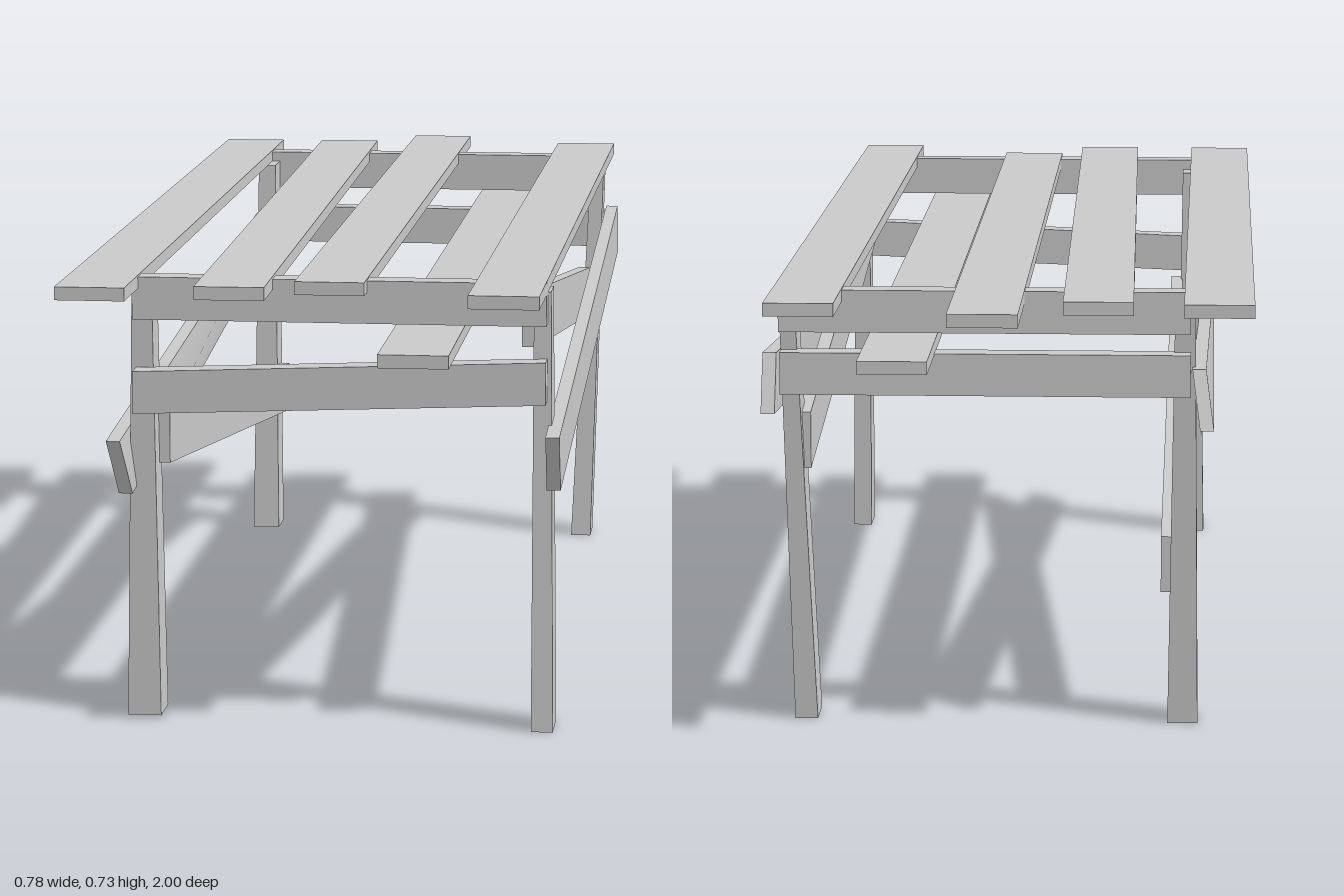
import * as THREE from 'three';

const material = new THREE.MeshStandardMaterial({ color: 0xcccccc });

// Six-sided timber: place(x, y, z) maps the corner signs (-1 or 1) to a position.
function timber(name, place) {
  const geometry = new THREE.BoxGeometry(2, 2, 2);
  const p = geometry.attributes.position;
  for (let i = 0; i < p.count; i++) {
    p.setXYZ(i, ...place(p.getX(i), p.getY(i), p.getZ(i)));
  }
  geometry.computeVertexNormals();
  const mesh = new THREE.Mesh(geometry, material);
  mesh.name = name;
  return mesh;
}

const pick = (sign, low, high) => (sign < 0 ? low : high);

// Table board: xBack and xFront are the centres of its ends.
function slat(name, xBack, xFront, y, zBack, zFront) {
  const skew = (xFront - xBack) / (zFront - zBack);
  return timber(name, (sx, sy, sz) => [
    pick(sz, xBack, xFront) + sx * 0.055,
    y + sy * 0.0105,
    pick(sz, zBack, zFront) - sx * 0.055 * skew,
  ]);
}

// Crosswise board: yRight and yLeft are the centres of its ends.
function rail(name, yRight, yLeft, z) {
  return timber(name, (sx, sy, sz) => [
    pick(sx, -0.29, 0.365),
    pick(sx, yRight, yLeft) + sy * 0.034,
    z + sz * 0.02,
  ]);
}

// Leg: foot and head are [xMin, xMax, zMin, zMax].
function leg(name, foot, head) {
  return timber(name, (sx, sy, sz) => {
    const e = pick(sy, foot, head);
    return [pick(sx, e[0], e[1]), pick(sy, 0, 0.705), pick(sz, e[2], e[3])];
  });
}

// Lengthwise diagonal: each end is { x, y, z, lean }, lean shifting its lower edge in x;
// cut slants the sawn ends along z.
function brace(name, back, front, cut = 0) {
  return timber(name, (sx, sy, sz) => {
    const e = pick(sz, back, front);
    return [
      e.x + sx * 0.011 + (sy < 0 ? e.lean || 0 : 0),
      e.y + sy * 0.046,
      e.z + sy * cut,
    ];
  });
}

export function createModel() {
  const table = new THREE.Group();
  table.name = 'table';

  // Top boards, one of which has dropped onto the lower rails
  table.add(
    slat('topBoardRight', -0.335, -0.335, 0.715, -0.9, 0.957),
    slat('topBoardInnerRight', -0.147, -0.119, 0.717, -0.892, 0.942),
    slat('topBoardMiddle', 0.028, 0.028, 0.715, -1, 0.865),
    slat('droppedBoard', 0.173, 0.173, 0.626, -0.92, 1),
    slat('topBoardLeft', 0.319, 0.309, 0.715, -0.912, 0.97),
  );

  // End rails
  table.add(
    rail('frontUpperRail', 0.689, 0.689, 0.81),
    rail('frontLowerRail', 0.538, 0.565, 0.815),
    rail('backUpperRail', 0.689, 0.689, -0.75),
    rail('backLowerRail', 0.585, 0.585, -0.735),
  );

  // Slightly splayed legs
  table.add(
    leg('frontLeftLeg', [0.345, 0.38, 0.745, 0.825], [0.343, 0.37, 0.737, 0.795]),
    leg('frontRightLeg', [-0.31, -0.256, 0.72, 0.79], [-0.297, -0.265, 0.735, 0.79]),
    leg('backLeftLeg', [0.315, 0.352, -0.692, -0.62], [0.343, 0.368, -0.73, -0.665]),
    leg('backRightLeg', [-0.305, -0.256, -0.695, -0.625], [-0.297, -0.265, -0.73, -0.665]),
  );

  // Crossed side braces
  table.add(
    brace('leftInnerBrace', { x: 0.332, y: 0.466, z: -0.7 }, { x: 0.332, y: 0.655, z: 0.75 }),
    brace('rightInnerBrace', { x: -0.255, y: 0.266, z: -0.7 }, { x: -0.255, y: 0.455, z: 0.75 }),
    brace('leftOuterBrace', { x: 0.379, y: 0.576, z: -0.79 }, { x: 0.379, y: 0.442, z: 0.855 }, 0.02),
    brace('rightOuterBrace',
      { x: -0.304, y: 0.553, z: -0.785, lean: -0.013 },
      { x: -0.316, y: 0.42, z: 0.85, lean: 0.013 }, 0.02),
  );

  return table;
}
